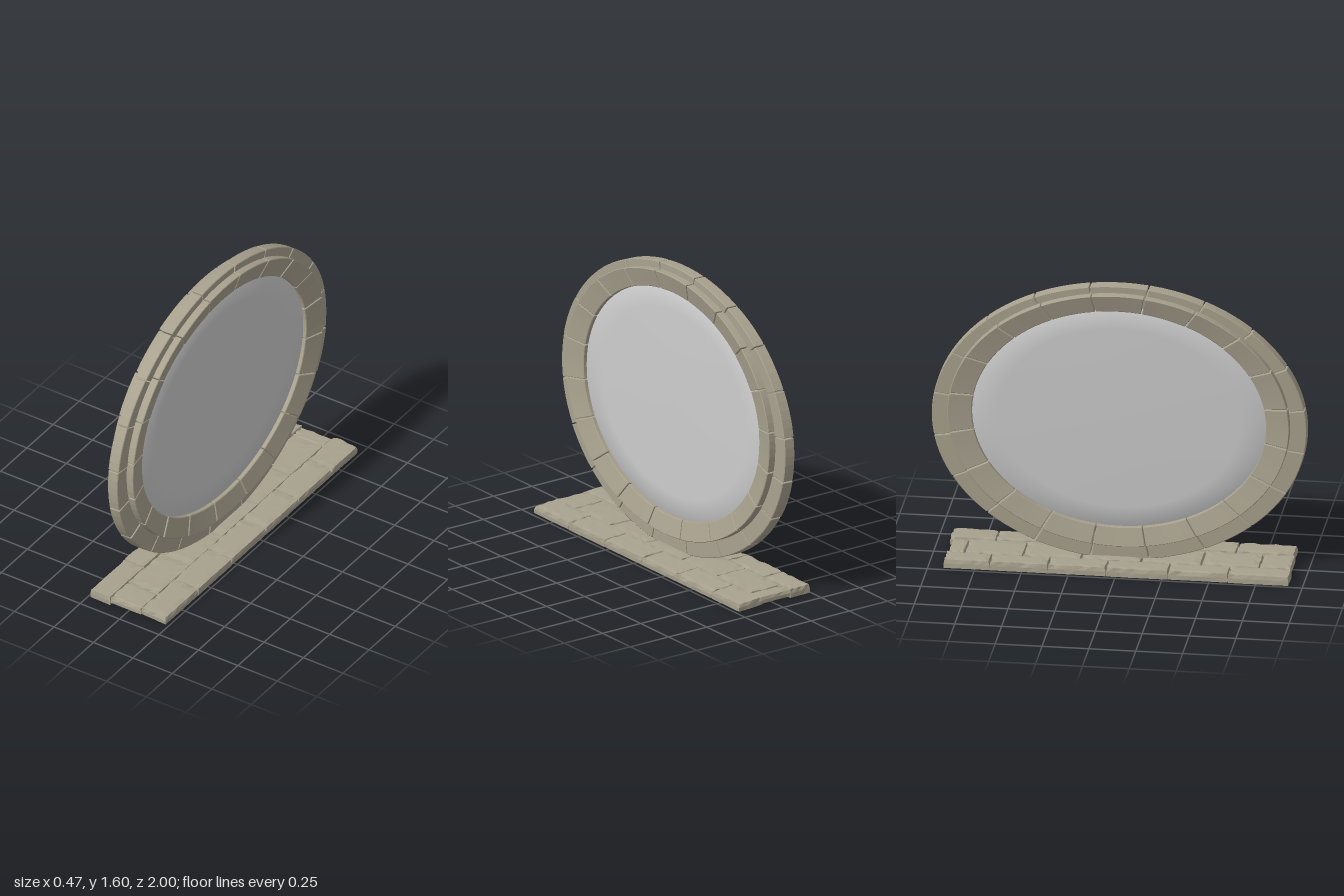
import * as THREE from 'three';

const stone = new THREE.MeshStandardMaterial({ color: 0xa8a18e, flatShading: true });
const openStone = new THREE.MeshStandardMaterial({ color: 0xa8a18e, flatShading: true, side: THREE.DoubleSide });
const grey = new THREE.MeshStandardMaterial({ color: 0xcccccc, side: THREE.DoubleSide });

// Repeatable value in -1..1 for any set of numbers
function noise(a, b = 0, c = 0) {
  const n = Math.sin(a * 127.1 + b * 311.7 + c * 74.7) * 43758.5453;
  return 2 * (n - Math.floor(n)) - 1;
}

// One curved block of an elliptical ring, between angles a0 and a1 (0 = top)
function ringBlock({ cy, inner, outer, halfInner, halfOuter }, a0, a1, grow) {
  const wi = halfInner + grow, wo = halfOuter + grow, b = 0.003;
  // Cross-section: [x, 0..1 from inner to outer ellipse], counter-clockwise
  const section = [
    [-wi + b, 0], [wi - b, 0], [wi, 0.03], [wo, 0.97],
    [wo - b, 1], [-wo + b, 1], [-wo, 0.97], [-wi, 0.03],
  ];
  const edge = 0.004;
  const stations = [[a0, 0.965], [a0 + edge, 1]];
  for (let i = 1; i < 5; i++) stations.push([a0 + edge + (a1 - a0 - 2 * edge) * i / 5, 1]);
  stations.push([a1 - edge, 1], [a1, 0.965]);

  const points = [], faces = [], n = section.length;
  stations.forEach(([a, k], j) => {
    for (const [x, t] of section) {
      const s = 0.5 + (t - 0.5) * k;
      const rz = THREE.MathUtils.lerp(inner[0], outer[0], s);
      const ry = THREE.MathUtils.lerp(inner[1], outer[1], s);
      points.push(x * k, cy + ry * Math.cos(a), rz * Math.sin(a));
    }
    if (j === 0) return;
    for (let i = 0; i < n; i++) {
      const p = (j - 1) * n + i, q = (j - 1) * n + (i + 1) % n;
      faces.push(p, q, q + n, p, q + n, p + n);
    }
  });
  const last = (stations.length - 1) * n;
  for (let i = 1; i < n - 1; i++) {
    faces.push(0, i + 1, i, last, last + i, last + i + 1);
  }
  const indexed = new THREE.BufferGeometry();
  indexed.setAttribute('position', new THREE.Float32BufferAttribute(points, 3));
  indexed.setIndex(faces);
  const geometry = indexed.toNonIndexed();
  geometry.computeVertexNormals();
  return geometry;
}

function stoneRing(name, spec, count) {
  const ring = new THREE.Group();
  ring.name = name;
  const step = Math.PI * 2 / count, gap = 0.004;
  for (let i = 0; i < count; i++) {
    const start = (i - 0.5) * step;
    const geometry = ringBlock(spec, start + gap, start + step - gap, noise(i, spec.halfOuter) * 0.002);
    const block = new THREE.Mesh(geometry, stone);
    block.name = name + 'Block';
    ring.add(block);
  }
  return ring;
}

// Hollow paving slab, open underneath, with a chipped rim
function pavingSlab(x0, x1, z0, z1, y0, y1) {
  const w = x1 - x0, d = z1 - z0, h = y1 - y0;
  const box = new THREE.BoxGeometry(w, h, d, 5, 2, 8);
  const { start, count } = box.groups[3];
  box.setIndex(Array.from(box.index.array).filter((_, i) => i < start || i >= start + count));
  box.clearGroups();
  const geometry = box.toNonIndexed();
  const pos = geometry.attributes.position;
  const cx = (x0 + x1) / 2, cz = (z0 + z1) / 2;
  for (let i = 0; i < pos.count; i++) {
    let x = pos.getX(i), y = pos.getY(i), z = pos.getZ(i);
    const kx = Math.round(x / w * 10), ky = Math.round(y / h * 2), kz = Math.round(z / d * 16);
    const rimX = Math.abs(kx) === 5, rimZ = Math.abs(kz) === 8;
    const chip = 0.5 + 0.5 * noise(kx + cx * 9, kz + cz * 7, ky);
    if (rimX || rimZ) {
      const inset = ky > 0 ? 0.002 + 0.007 * chip : 0.002 * chip;
      if (rimX) x -= Math.sign(kx) * inset;
      if (rimZ) z -= Math.sign(kz) * inset;
      if (ky > 0) y -= 0.006 * chip;
    } else if (ky > 0) {
      y -= 0.001 * chip;
    }
    pos.setXYZ(i, x, y, z);
  }
  geometry.computeVertexNormals();
  const slab = new THREE.Mesh(geometry, openStone);
  slab.name = 'pavingSlab';
  slab.position.set(cx, (y0 + y1) / 2, cz);
  return slab;
}

export function createModel() {
  const model = new THREE.Group();
  model.name = 'stonePortal';

  // Slightly leaning portal
  const portal = new THREE.Group();
  portal.name = 'portal';
  portal.position.set(-0.044, 0.82, 0);
  portal.rotation.z = 0.03;
  model.add(portal);

  // Narrow outer ring, and a wider inner ring whose faces slope in to the opening
  portal.add(stoneRing('outerRing', {
    cy: 0, inner: [0.86, 0.67], outer: [1, 0.785], halfInner: 0.033, halfOuter: 0.033,
  }, 20));
  portal.add(stoneRing('innerRing', {
    cy: 0.026, inner: [0.785, 0.622], outer: [0.912, 0.722], halfInner: 0.048, halfOuter: 0.074,
  }, 20));

  // Smooth, slightly domed pane filling the opening
  const profile = [[0, -0.034], [0.4, -0.032], [0.8, -0.028], [1, -0.025], [1, 0.025], [0.8, 0.028], [0.4, 0.032], [0, 0.034]];
  const pane = new THREE.Mesh(
    new THREE.LatheGeometry(profile.map(([r, y]) => new THREE.Vector2(r, y)), 80), grey);
  pane.name = 'portalPane';
  pane.rotation.z = Math.PI / 2;
  pane.scale.set(0.64, 1, 0.805);
  pane.position.y = 0.026;
  portal.add(pane);

  // Paved base: three rows, the middle one staggered
  const base = new THREE.Group();
  base.name = 'pavedBase';
  model.add(base);
  const rows = [
    { x: [-0.238, -0.11], y: [0.005, 0.055], tilt: -0.02, cuts: [-0.915, -0.67, -0.36, -0.05, 0.28, 0.6, 0.925] },
    { x: [-0.112, 0.082], y: [0.014, 0.051], tilt: 0, cuts: [-0.91, -0.82, -0.51, -0.2, 0.12, 0.44, 0.75, 0.92] },
    { x: [0.08, 0.235], y: [0.01, 0.053], tilt: -0.05, cuts: [-0.925, -0.68, -0.36, -0.05, 0.28, 0.6, 0.912] },
  ];
  for (const { x, y, tilt, cuts } of rows) {
    for (let i = 0; i < cuts.length - 1; i++) {
      const lift = 0.0015 * noise(i, x[0]);
      const slab = pavingSlab(x[0], x[1], cuts[i], cuts[i + 1], y[0] + lift, y[1] + lift);
      slab.rotation.z = tilt;
      base.add(slab);
    }
  }
  return model;
}
